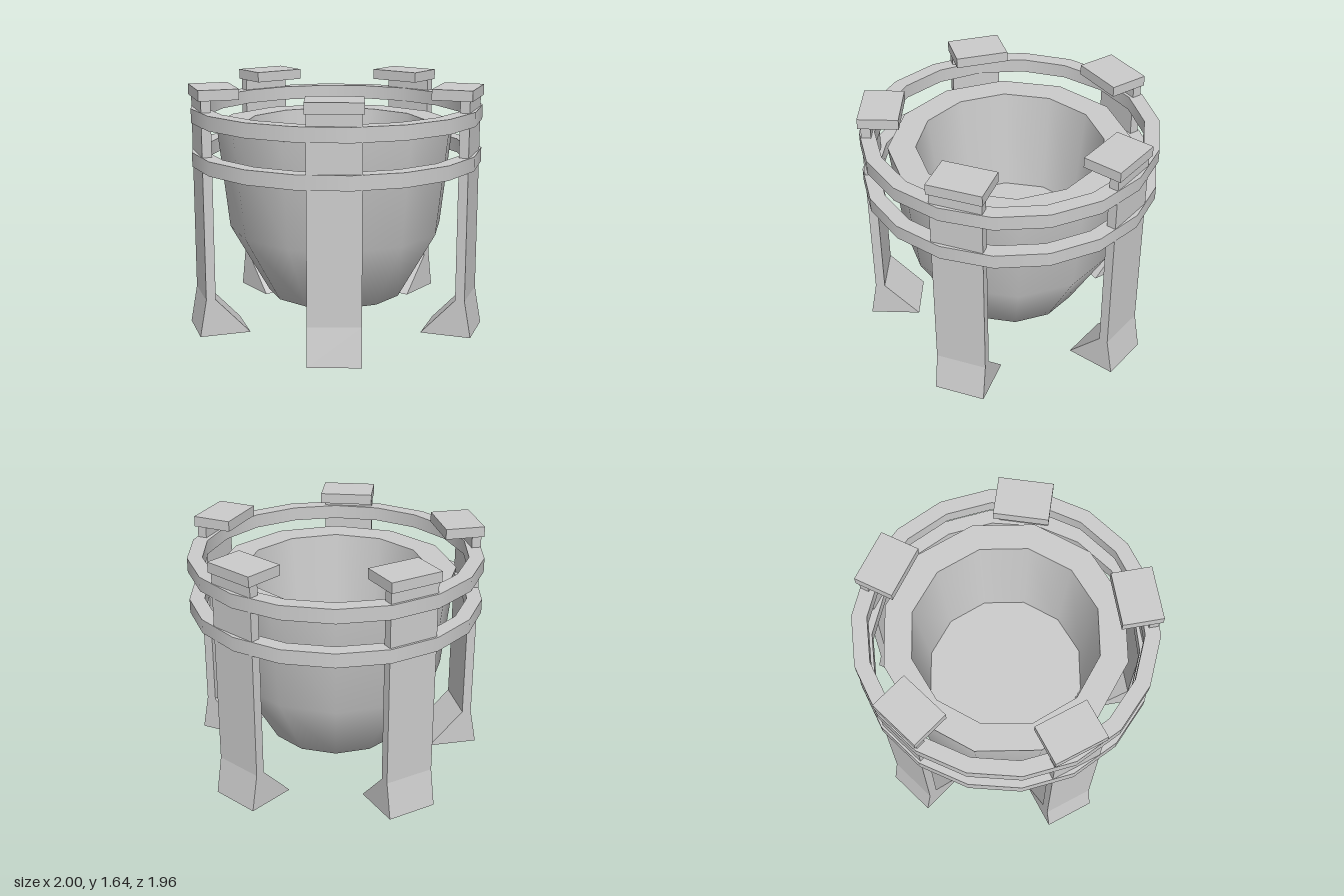
import * as THREE from 'three';
import { mergeGeometries } from 'three/addons/utils/BufferGeometryUtils.js';

const smooth = new THREE.MeshStandardMaterial({ color: 0xcccccc });
const flat = new THREE.MeshStandardMaterial({ color: 0xcccccc, flatShading: true, side: THREE.DoubleSide });

// Turned shape from several profiles; the edges between profiles stay sharp
function turned(name, profiles, sides, phase = 0) {
  const parts = profiles.map(p =>
    new THREE.LatheGeometry(p.map(([r, y]) => new THREE.Vector2(r, y)), sides, phase));
  const mesh = new THREE.Mesh(mergeGeometries(parts), smooth);
  mesh.name = name;
  return mesh;
}

// Open rectangular tube through sections [y, inner z, outer z], hollow underneath
function legGeometry(sections, halfWidth) {
  const pos = [], index = [];
  for (const [y, zIn, zOut] of sections)
    pos.push(-halfWidth, y, zOut, halfWidth, y, zOut, halfWidth, y, zIn, -halfWidth, y, zIn);
  for (let s = 0; s < sections.length - 1; s++)
    for (let i = 0; i < 4; i++) {
      const a = s * 4 + i, b = s * 4 + (i + 1) % 4;
      index.push(a, b, b + 4, a, b + 4, a + 4);
    }
  const g = new THREE.BufferGeometry();
  g.setAttribute('position', new THREE.Float32BufferAttribute(pos, 3));
  g.setIndex(index);
  const out = g.toNonIndexed();
  out.computeVertexNormals();
  return out;
}

export function createModel() {
  const model = new THREE.Group();
  model.name = 'hangingBowlStand';

  // Thick twelve-sided bowl: outside, rim, inner wall, floor
  model.add(turned('bowl', [
    [[0, 0.085], [0.465, 0.2], [0.725, 0.66], [0.805, 1.37]],
    [[0.805, 1.37], [0.622, 1.37]],
    [[0.622, 1.37], [0.54, 0.66]],
    [[0.54, 0.66], [0, 0.66]],
  ], 12));

  // Two hoops tying the legs together
  const hoops = [['lowerHoop', 1.115], ['upperHoop', 1.405]];
  for (const [name, y] of hoops) {
    const a = [0.88, y], b = [0.98, y], c = [0.98, y + 0.095], d = [0.88, y + 0.095];
    model.add(turned(name, [[a, b], [b, c], [c, d], [d, a]], 18, Math.PI / 18));
  }

  // Five legs with flared feet and cap blocks, one of them at the back
  const legGeo = legGeometry([[0, 0.655, 0.995], [0.25, 0.887, 0.95], [1.575, 0.887, 0.95]], 0.17);
  const capGeo = new THREE.BoxGeometry(0.36, 0.07, 0.265);
  for (let i = 0; i < 5; i++) {
    const support = new THREE.Group();
    support.name = 'support' + (i + 1);
    const leg = new THREE.Mesh(legGeo, flat);
    leg.name = 'leg';
    const cap = new THREE.Mesh(capGeo, flat);
    cap.name = 'cap';
    cap.position.set(0, 1.61, 0.835);
    support.add(leg, cap);
    support.rotation.y = Math.PI + i * Math.PI * 2 / 5;
    model.add(support);
  }

  model.children.forEach(part => { part.position.z = 0.015; });
  return model;
}
